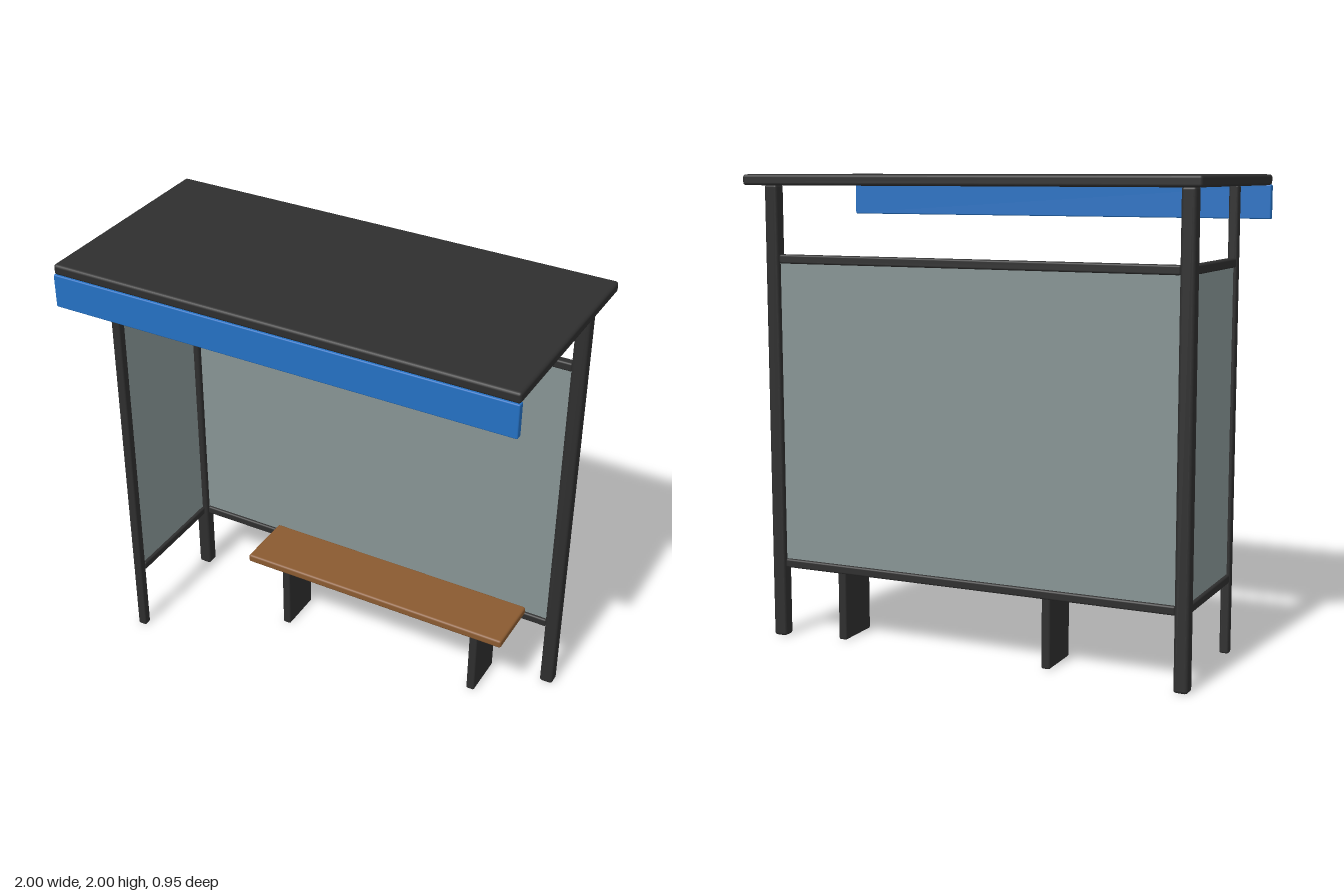
import * as THREE from 'three';
import { RoundedBoxGeometry } from 'three/addons/geometries/RoundedBoxGeometry.js';

function material(name, color) {
  const m = new THREE.MeshStandardMaterial({ color });
  m.name = name;
  return m;
}

export function createModel() {
  const group = new THREE.Group();
  group.name = 'busShelter';
  const metal = material('darkMetal', 0x2e2e2e);
  const glass = material('greyGlass', 0x879494);
  const blue = material('blueSign', 0x2470c2);
  const wood = material('brownWood', 0x8a5a30);

  // Box given by its extents on each axis, with softened edges when bevel > 0
  function block(name, mat, [x0, x1], [y0, y1], [z0, z1], bevel = 0) {
    const size = [x1 - x0, y1 - y0, z1 - z0];
    const geometry = bevel
      ? new RoundedBoxGeometry(...size, 2, bevel)
      : new THREE.BoxGeometry(...size);
    const mesh = new THREE.Mesh(geometry, mat);
    mesh.name = name;
    mesh.position.set((x0 + x1) / 2, (y0 + y1) / 2, (z0 + z1) / 2);
    group.add(mesh);
  }
  const around = (c, half) => [c - half, c + half];

  const postX = 0.92, backZ = -0.36;

  // Roof and front fascia
  block('roof', metal, [-1, 1], [1.955, 2], [-0.475, 0.475], 0.012);
  block('fascia', blue, [-1, 1], [1.815, 1.957], [0.45, 0.48], 0.005);

  // Two thick rear posts and one slim front post beside the end panel
  for (const side of [-1, 1]) {
    block('rearPost', metal, around(side * postX, 0.03), [0, 1.958], around(backZ, 0.03), 0.012);
  }
  block('frontPost', metal, around(-postX, 0.02), [0, 1.958], around(0.2, 0.02), 0.008);

  // Rails that hold the panes
  for (const y of [0.327, 1.646]) {
    block('backRail', metal, [-0.89, 0.89], around(y, 0.019), around(backZ, 0.019), 0.008);
    block('sideRail', metal, around(-postX, 0.019), around(y, 0.019), [-0.33, 0.18], 0.008);
  }

  // Back and side panes
  block('backPane', glass, [-0.89, 0.89], [0.34, 1.635], around(backZ, 0.006));
  block('sidePane', glass, around(-postX, 0.006), [0.34, 1.635], [-0.33, 0.18]);

  // Bench with two plate legs
  block('benchSeat', wood, [-0.48, 0.795], [0.357, 0.395], [-0.33, -0.055], 0.01);
  for (const x of [-0.322, 0.638]) {
    block('benchLeg', metal, around(x, 0.019), [0, 0.36], [-0.33, -0.122], 0.008);
  }

  return group;
}
